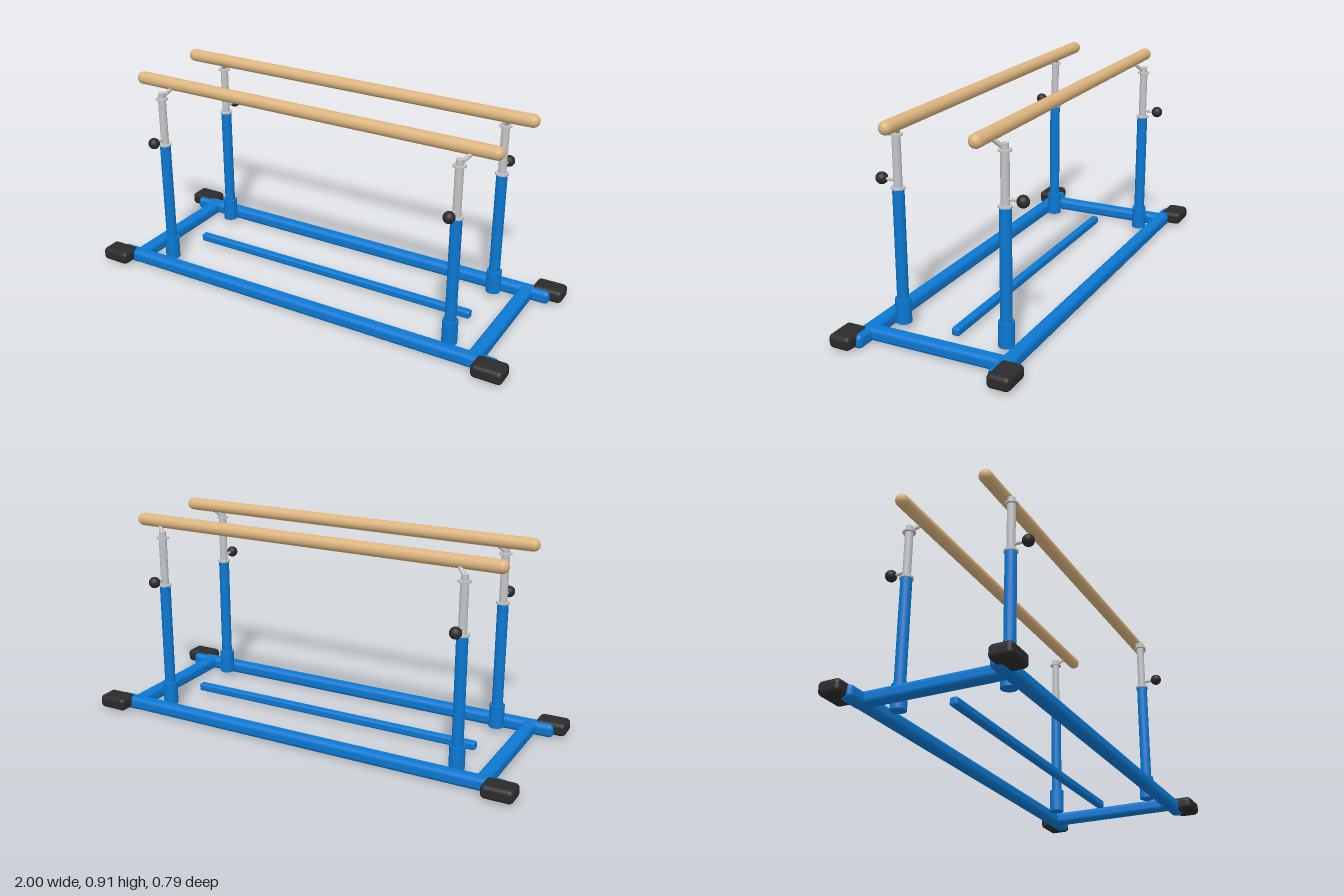
import * as THREE from 'three';
import { RoundedBoxGeometry } from 'three/addons/geometries/RoundedBoxGeometry.js';

const mat = (name, color) => {
  const m = new THREE.MeshStandardMaterial({ color });
  m.name = name;
  return m;
};

export function createModel() {
  const blue = mat('blue paint', 0x0b78d2);
  const steel = mat('steel', 0xc2c4c6);
  const black = mat('black rubber', 0x2b2b2b);
  const wood = mat('wood', 0xdcb47e);

  const model = new THREE.Group();
  model.name = 'parallelBars';

  const add = (parent, name, geometry, material, x, y, z) => {
    const mesh = new THREE.Mesh(geometry, material);
    mesh.name = name;
    mesh.position.set(x, y, z);
    parent.add(mesh);
    return mesh;
  };
  const box = (w, h, d, r) => new RoundedBoxGeometry(w, h, d, 4, r);
  // upright cylinder between two heights
  const column = (parent, name, material, r, y0, y1) =>
    add(parent, name, new THREE.CylinderGeometry(r, r, y1 - y0, 24), material, 0, (y0 + y1) / 2, 0);
  // thin rod between two points
  const rod = (parent, name, material, a, b, r) => {
    const dir = b.clone().sub(a);
    const mesh = add(parent, name, new THREE.CylinderGeometry(r, r, dir.length(), 16), material, 0, 0, 0);
    mesh.position.copy(a).addScaledVector(dir, 0.5);
    mesh.quaternion.setFromUnitVectors(new THREE.Vector3(0, 1, 0), dir.normalize());
  };

  // Base frame
  for (const s of [-1, 1]) {
    add(model, 'baseRail', box(1.9, 0.058, 0.058, 0.02), blue, 0, 0.031, s * 0.306);
    add(model, 'crossRail', box(0.06, 0.054, 0.6, 0.018), blue, s * 0.845, 0.032, 0);
    for (const t of [-1, 1]) {
      add(model, 'foot', box(0.136, 0.06, 0.098, 0.02), black, s * 0.932, 0.038, t * 0.346);
    }
  }
  add(model, 'floorBar', box(1.41, 0.036, 0.036, 0.01), blue, 0, 0.03, 0);
  // flush base pads that rest on the floor
  for (const s of [-1, 1]) {
    add(model, 'railEnd', box(0.12, 0.06, 0.058, 0.02), blue, s * 0.89, 0.03, s * 0.306);
    add(model, 'railEnd', box(0.12, 0.06, 0.058, 0.02), blue, s * 0.89, 0.03, -s * 0.306);
  }

  // Height-adjustable posts
  for (const side of [-1, 1]) {
    for (const end of [-1, 1]) {
      const post = new THREE.Group();
      post.name = 'post';
      post.position.set(end * 0.71, 0, side * 0.234);
      model.add(post);
      column(post, 'postSocket', blue, 0.033, 0.03, 0.134);
      column(post, 'outerTube', blue, 0.024, 0.1, 0.6);
      column(post, 'lowerRing', steel, 0.029, 0.597, 0.605);
      column(post, 'innerTube', steel, 0.0175, 0.59, 0.82);
      column(post, 'upperRing', steel, 0.027, 0.813, 0.82);
      column(post, 'tubeCap', steel, 0.0155, 0.82, 0.844);
      // bracket that carries the handrail
      rod(post, 'railBracket', steel, new THREE.Vector3(0, 0.825, -side * 0.005),
        new THREE.Vector3(0.045, 0.873, -side * 0.04), 0.009);
      // locking screw with ball knob
      rod(post, 'lockScrew', steel, new THREE.Vector3(0, 0.63, 0),
        new THREE.Vector3(0, 0.63, side * 0.07), 0.0065);
      add(post, 'lockKnob', new THREE.SphereGeometry(0.025, 24, 16), black, 0, 0.63, side * 0.074);
    }
    // Round-ended handrail
    const bar = add(model, 'handrail', new THREE.CapsuleGeometry(0.028, 1.68, 10, 28), wood,
      0, 0.878, side * 0.189);
    bar.rotation.z = Math.PI / 2;
  }
  return model;
}
